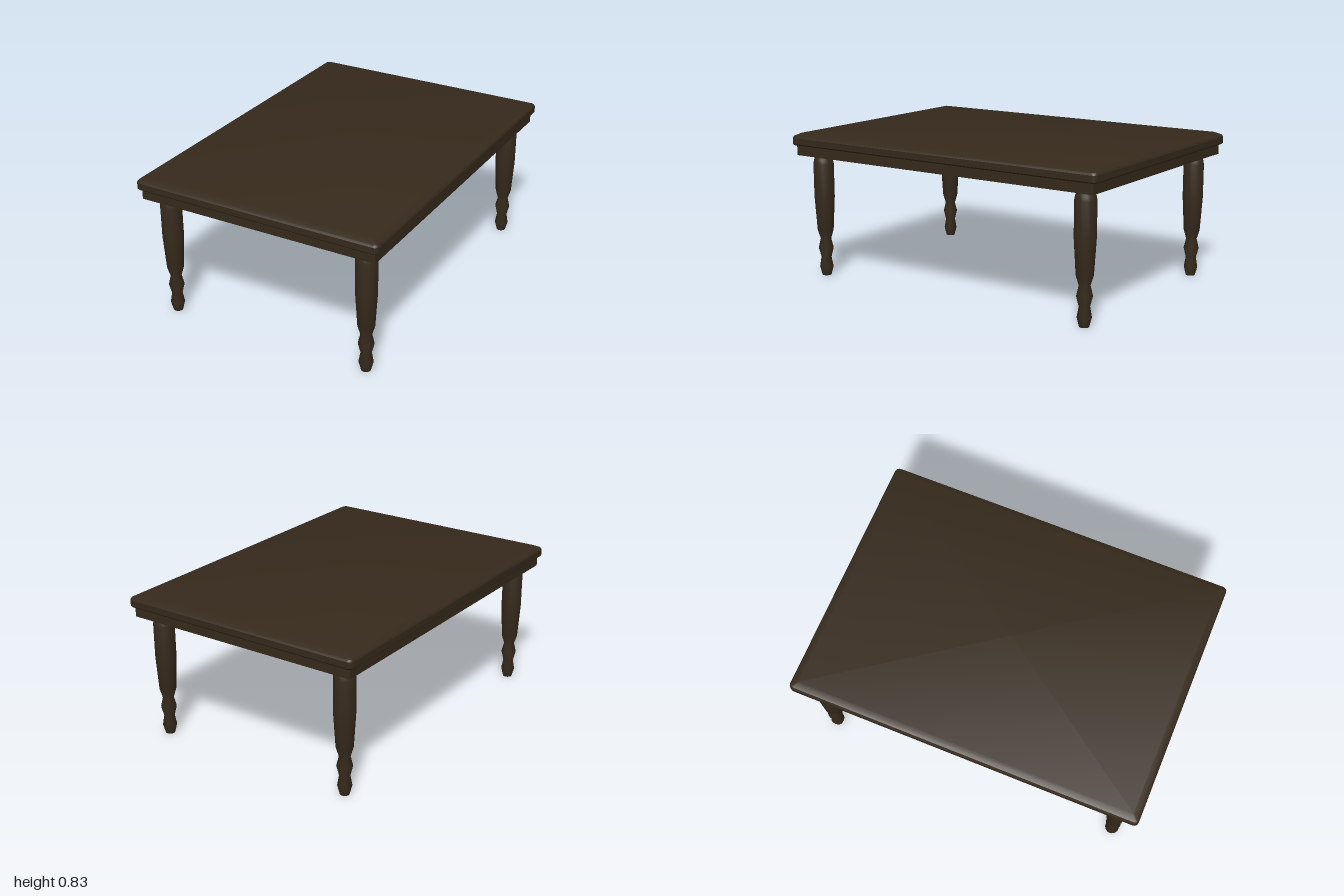
import * as THREE from 'three';
import { toCreasedNormals } from 'three/addons/utils/BufferGeometryUtils.js';

const HALF_X = 0.72, HALF_Z = 1;
const wood = new THREE.MeshStandardMaterial({ color: 0x35291b });

// Rounded rectangle outline at height y, pulled in from the full table size
function outline(y, inset) {
  const r = Math.max(0.026 - inset, 0.004), steps = 4, points = [];
  const cx = HALF_X - inset - r, cz = HALF_Z - inset - r;
  [[1, 1], [-1, 1], [-1, -1], [1, -1]].forEach(([sx, sz], corner) => {
    for (let i = 0; i <= steps; i++) {
      const a = (corner + i / steps) * Math.PI / 2;
      points.push([sx * cx + r * Math.cos(a), y, sz * cz + r * Math.sin(a)]);
    }
  });
  return points;
}

// Table top: stacked outlines, closed by a fan below and above
function tableTopGeometry() {
  const layers = [[0.766, 0.008], [0.774, 0], [0.808, 0], [0.819, 0.007], [0.835, 0.042]];
  const loops = layers.map(([y, inset]) => outline(y, inset));
  const n = loops[0].length, index = [];
  const low = n * loops.length, high = low + 1;
  const last = n * (loops.length - 1);
  for (let i = 0; i < n; i++) {
    const j = (i + 1) % n;
    for (let k = 0; k < loops.length - 1; k++) {
      const a = k * n + i, b = k * n + j;
      index.push(a, a + n, b, b, a + n, b + n);
    }
    index.push(low, i, j, high, last + j, last + i);
  }
  const positions = [...loops.flat(2), 0, 0.766, 0, 0, 0.835, 0];
  const geometry = new THREE.BufferGeometry();
  geometry.setAttribute('position', new THREE.Float32BufferAttribute(positions, 3));
  geometry.setIndex(index);
  return toCreasedNormals(geometry, 0.5);
}

// Apron: a hollow rectangular frame under the top
function apronGeometry() {
  const x = 0.697, z = 0.975, t = 0.035;
  const rectangle = (w, d) => [[-w, -d], [w, -d], [w, d], [-w, d]].map(p => new THREE.Vector2(...p));
  const shape = new THREE.Shape(rectangle(x, z));
  shape.holes.push(new THREE.Path(rectangle(x - t, z - t)));
  return new THREE.ExtrudeGeometry(shape, { depth: 0.06, bevelEnabled: false })
    .rotateX(-Math.PI / 2).translate(0, 0.708, 0);
}

// Turned leg, from foot to the underside of the top
function legGeometry() {
  const profile = [
    [0, 0], [0.026, 0], [0.039, 0.05], [0.029, 0.106], [0.043, 0.162], [0.03, 0.216],
    [0.046, 0.27], [0.058, 0.464], [0.058, 0.655], [0.053, 0.68], [0.042, 0.708], [0.042, 0.768],
  ].map(p => new THREE.Vector2(...p));
  return toCreasedNormals(new THREE.LatheGeometry(profile, 20), 0.7);
}

export function createModel() {
  const model = new THREE.Group();
  model.name = 'table';
  const add = (name, geometry) => {
    const mesh = new THREE.Mesh(geometry, wood);
    mesh.name = name;
    model.add(mesh);
    return mesh;
  };
  add('tableTop', tableTopGeometry());
  add('apron', apronGeometry());

  // Four legs, one near each corner
  const leg = legGeometry();
  for (const [sx, side] of [[1, 'Left'], [-1, 'Right']])
    for (const [sz, end] of [[1, 'front'], [-1, 'back']])
      add(`${end}${side}Leg`, leg).position.set(sx * 0.595, 0, sz * 0.872);
  return model;
}
